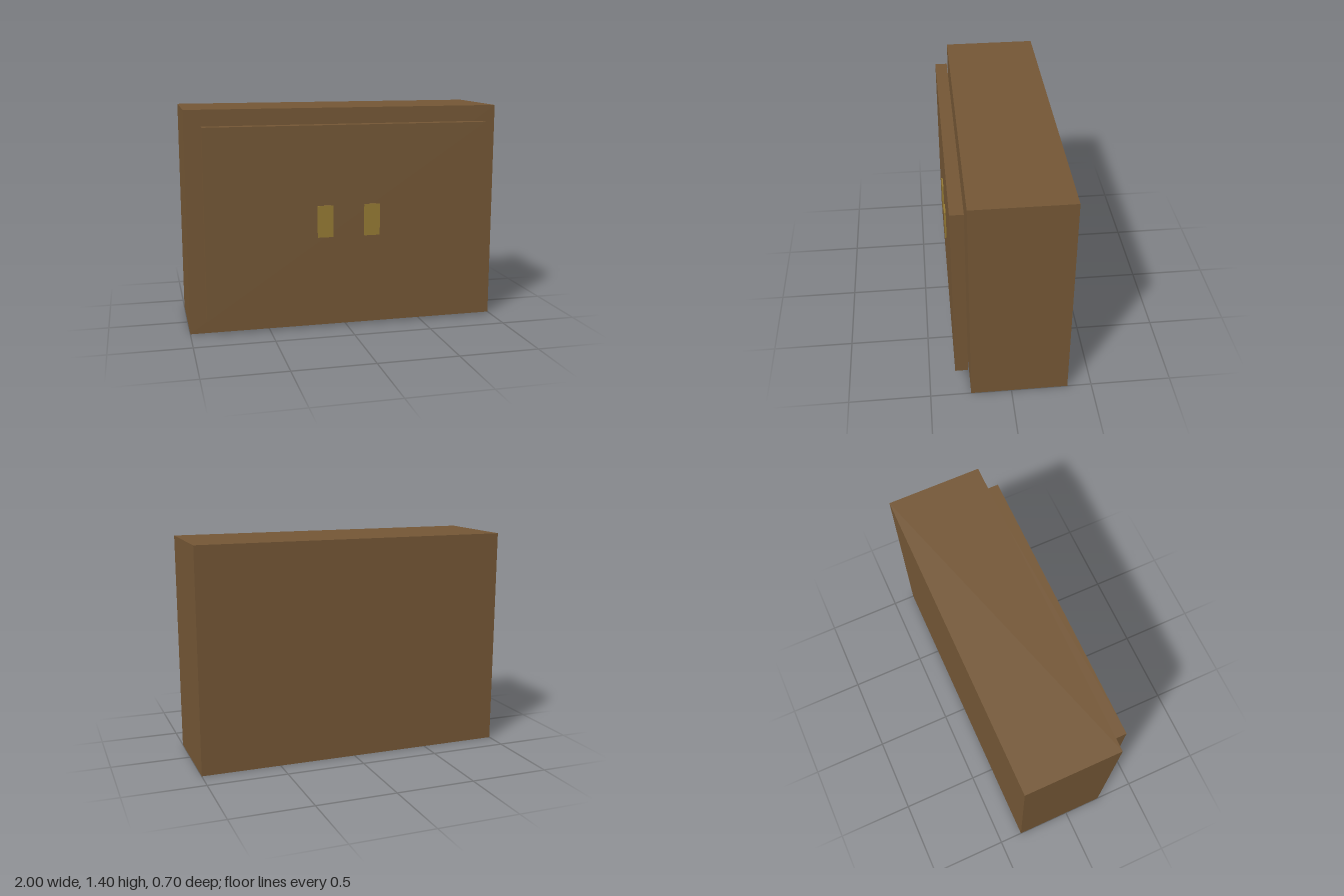
import * as THREE from 'three';

export function createModel() {
  const wood = new THREE.MeshStandardMaterial({ color: 0x735635, side: THREE.DoubleSide });
  wood.name = 'brown wood';
  const brass = new THREE.MeshStandardMaterial({ color: 0x937933 });
  brass.name = 'dull brass';

  const model = new THREE.Group();
  model.name = 'cabinet';

  function add(name, geometry, material, x, y, z) {
    const mesh = new THREE.Mesh(geometry, material);
    mesh.name = name;
    mesh.position.set(x, y, z);
    model.add(mesh);
  }

  // Cabinet shell, a thin-walled box left open underneath
  const shell = new THREE.BoxGeometry(2, 1.4, 0.6);
  const index = Array.from(shell.index.array);
  index.splice(18, 6); // the bottom face
  shell.setIndex(index);
  shell.clearGroups();
  add('cabinetBody', shell, wood, 0, 0.7, -0.05);

  // Door panel standing just clear of the body
  add('doorPanel', new THREE.BoxGeometry(1.8, 1.2, 0.08), wood, 0, 0.7, 0.3);

  // Pair of handles passing through the panel
  for (const [name, side] of [['leftHandle', 1], ['rightHandle', -1]]) {
    add(name, new THREE.BoxGeometry(0.1, 0.2, 0.1), brass, side * 0.15, 0.7, 0.3);
  }

  return model;
}
